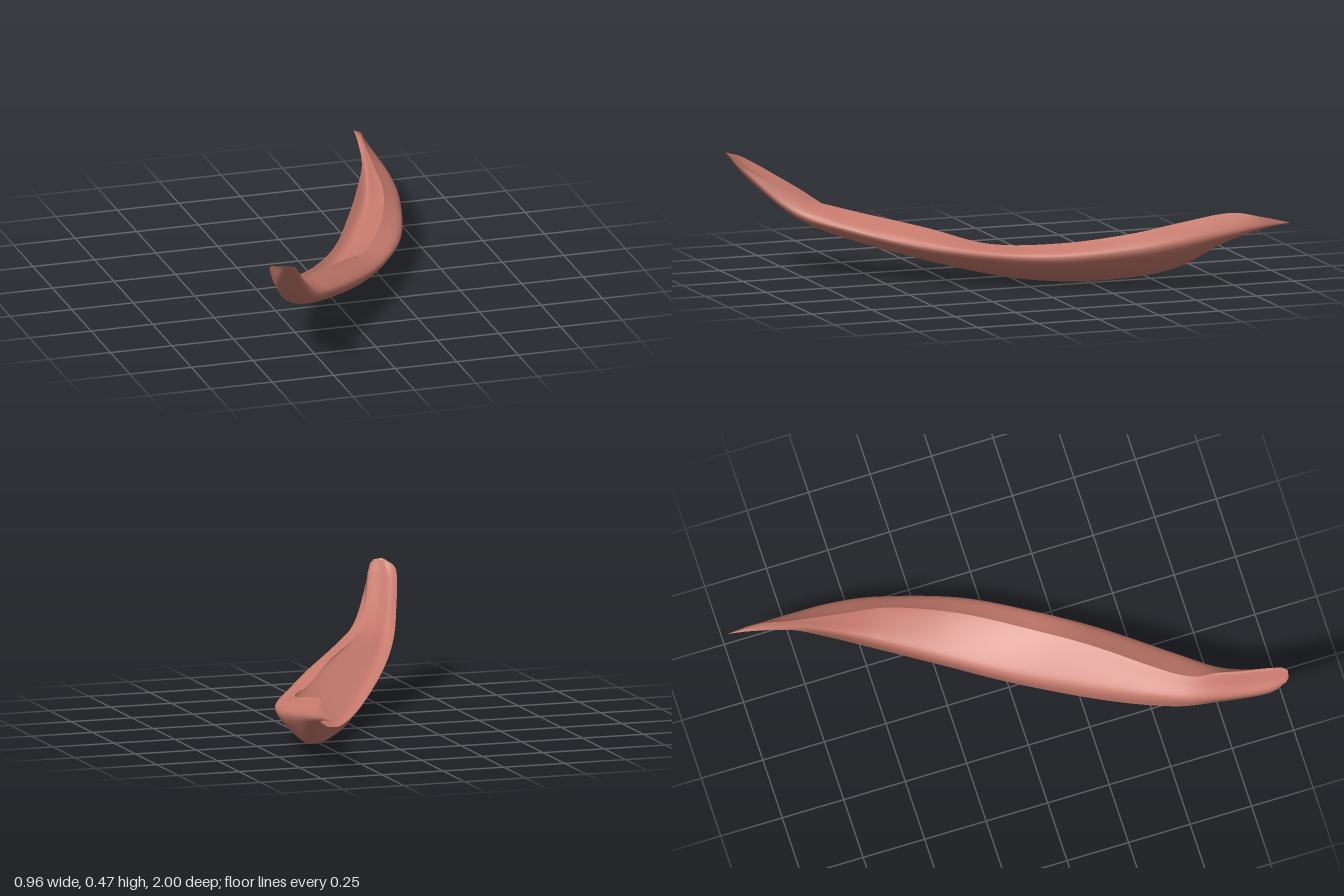
import * as THREE from 'three';

// Four rails running from the raised blunt tip to the thin pointed tip
const lowRim = [
  [-0.465, 0.47, 0.98], [-0.478, 0.44, 0.9], [-0.415, 0.33, 0.72], [-0.345, 0.228, 0.56],
  [-0.215, 0.155, 0.32], [-0.02, 0.078, 0.02], [0.14, 0.06, -0.22], [0.27, 0.098, -0.45],
  [0.358, 0.143, -0.62], [0.415, 0.18, -0.75], [0.445, 0.215, -0.9], [0.46, 0.225, -1]];
const keel = [
  [-0.45, 0.475, 0.995], [-0.445, 0.37, 0.9], [-0.37, 0.24, 0.74], [-0.28, 0.165, 0.6],
  [-0.14, 0.09, 0.35], [0.05, 0.015, 0.03], [0.2, 0.003, -0.2], [0.33, 0.03, -0.42],
  [0.405, 0.078, -0.58], [0.44, 0.165, -0.74], [0.455, 0.215, -0.9], [0.46, 0.225, -1]];
const outerWall = [
  [-0.42, 0.472, 1], [-0.375, 0.4, 0.94], [-0.262, 0.26, 0.785], [-0.125, 0.21, 0.625],
  [0.075, 0.158, 0.39], [0.235, 0.13, 0.157], [0.368, 0.128, -0.087], [0.453, 0.155, -0.375],
  [0.475, 0.185, -0.56], [0.472, 0.21, -0.75], [0.465, 0.225, -0.9], [0.46, 0.225, -1]];
const highRim = [
  [-0.4, 0.46, 0.985], [-0.368, 0.415, 0.93], [-0.3, 0.322, 0.77], [-0.245, 0.273, 0.62],
  [-0.01, 0.214, 0.34], [0.15, 0.162, 0.13], [0.29, 0.172, -0.11], [0.38, 0.207, -0.36],
  [0.402, 0.242, -0.56], [0.422, 0.272, -0.76], [0.455, 0.255, -0.88], [0.46, 0.225, -1]];

const spline = (pts) => new THREE.CatmullRomCurve3(pts, false, 'catmullrom', 0.5);
const rails = [lowRim, keel, outerWall, highRim].map((table) =>
  spline(table.map((p) => new THREE.Vector3(...p))));

// One skin of the cupped body; fill raises it from the outer hull towards the rim line
function skinGeometry(fill, facesUp, along = 88, across = 24) {
  const row = across + 1;
  const positions = [];
  const index = [];
  for (let i = 0; i <= along; i++) {
    const u = i / along;
    const [a, k, w, b] = rails.map((r) => r.getPoint(u));
    const belly = k.clone().lerp(w, 0.62);
    belly.y -= 0.035 * Math.sin(Math.PI * u);
    const section = spline([a, k, belly, w, b]);
    for (let j = 0; j <= across; j++) {
      const t = j / across;
      const p = section.getPoint(t);
      const rimLine = a.clone().lerp(b, t);
      p.lerp(rimLine, fill(u) * Math.sqrt(Math.max(0, Math.sin(Math.PI * t))));
      positions.push(p.x, p.y, p.z);
    }
  }
  for (let i = 0; i < along; i++) {
    for (let j = 0; j < across; j++) {
      const p = i * row + j;
      const q = p + row;
      if (facesUp) index.push(p, p + 1, q, p + 1, q + 1, q);
      else index.push(p, q, p + 1, p + 1, q, q + 1);
    }
  }
  const geometry = new THREE.BufferGeometry();
  geometry.setAttribute('position', new THREE.Float32BufferAttribute(positions, 3));
  geometry.setIndex(index);
  geometry.computeVertexNormals();
  return geometry;
}

export function createModel() {
  const group = new THREE.Group();
  group.name = 'curledPetal';
  const dustyPink = new THREE.MeshStandardMaterial({ color: 0xc77b6d, side: THREE.DoubleSide });
  dustyPink.name = 'dustyPink';

  // Rounded underside
  const outer = new THREE.Mesh(skinGeometry(() => 0, false), dustyPink);
  outer.name = 'outerSkin';

  // Shallow upper face, deeper towards the pointed tip
  const inner = new THREE.Mesh(skinGeometry((u) => 0.75 - 0.35 * u, true), dustyPink);
  inner.name = 'innerSkin';

  group.add(outer, inner);
  return group;
}
